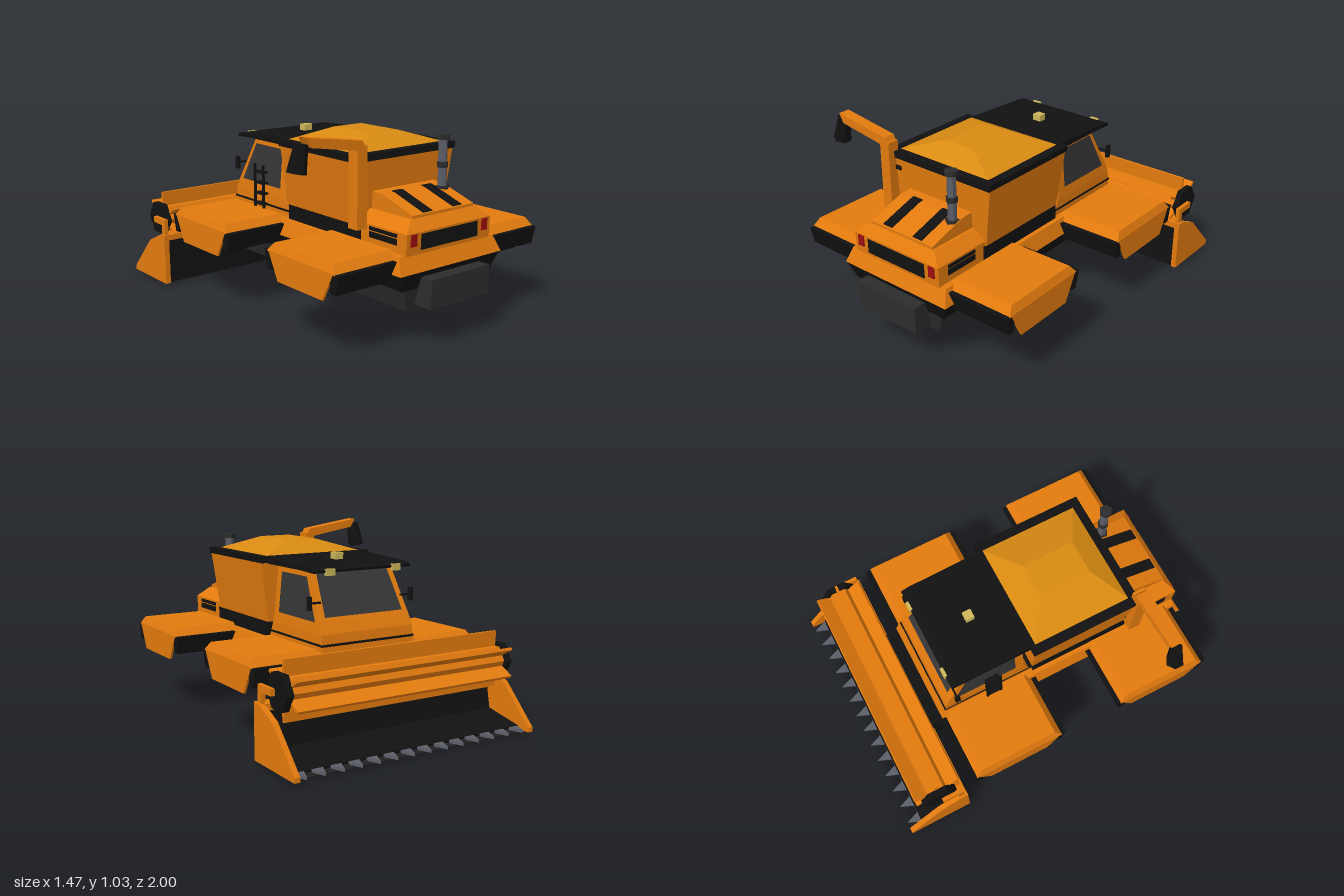
import * as THREE from 'three';

const mat = (name, color) => Object.assign(new THREE.MeshStandardMaterial({ color }), { name });

export function createModel() {
  const M = {
    orange: mat('orange paint', 0xe27a0e), black: mat('black trim', 0x111111),
    hull: mat('dark grey hull', 0x2c2c2c), steel: mat('steel grey', 0x5c5e68),
    glass: mat('tinted glass', 0x363636), grain: mat('grain', 0xd88a12),
    red: mat('tail light red', 0x9c0f0f), lamp: mat('lamp yellow', 0xcdb658),
  };
  M.glass.side = THREE.DoubleSide;
  const root = new THREE.Group();
  root.name = 'harvester';
  root.position.x = 0.01;

  const add = (name, geo, m) => {
    const g = geo.index ? geo.toNonIndexed() : geo;
    g.computeVertexNormals();
    const mesh = new THREE.Mesh(g, m);
    mesh.name = name;
    root.add(mesh);
    return mesh;
  };
  // box given by its limits
  const box = (name, m, x0, x1, y0, y1, z0, z1) => add(name,
    new THREE.BoxGeometry(x1 - x0, y1 - y0, z1 - z0).translate((x0 + x1) / 2, (y0 + y1) / 2, (z0 + z1) / 2), m);
  // stack of rectangular rings [y, xMin, xMax, zMin, zMax]
  const loft = (name, m, rings) => {
    const pos = [], idx = [];
    for (const [y, a, b, c, d] of rings) pos.push(b, y, d, b, y, c, a, y, c, a, y, d);
    for (let r = 0; r < rings.length - 1; r++) for (let i = 0; i < 4; i++) {
      const p = r * 4 + i, q = r * 4 + (i + 1) % 4;
      idx.push(p, q, q + 4, p, q + 4, p + 4);
    }
    const t = (rings.length - 1) * 4;
    idx.push(0, 2, 1, 0, 3, 2, t, t + 1, t + 2, t, t + 2, t + 3);
    const g = new THREE.BufferGeometry();
    g.setAttribute('position', new THREE.Float32BufferAttribute(pos, 3));
    g.setIndex(idx);
    return add(name, g, m);
  };
  const sym = ([y, hx, z0, z1]) => [y, -hx, hx, z0, z1];
  const extrude = (pts, depth) => new THREE.ExtrudeGeometry(
    new THREE.Shape(pts.map(p => new THREE.Vector2(...p))), { depth, bevelEnabled: false });
  // side profile [z, y] extruded from x0 to x1
  const prism = (name, m, pts, x0, x1) =>
    add(name, extrude(pts, x1 - x0).rotateY(-Math.PI / 2).translate(x1, 0, 0), m);
  // flat sheet through coplanar points
  const sheet = (name, m, pts) => {
    const g = new THREE.BufferGeometry().setFromPoints(pts.map(p => new THREE.Vector3(...p)));
    g.setIndex(pts.slice(2).flatMap((_, i) => [0, i + 1, i + 2]));
    return add(name, g, m);
  };

  // Hull and lower body
  loft('hull', M.hull, [[0.17, 0.25, -0.5, 0.88], [0.29, 0.29, -0.55, 0.91]].map(sym));
  loft('lowerBody', M.black, [[0.29, 0.31, -0.55, 0.91], [0.38, 0.345, -0.56, 0.94]].map(sym));
  loft('bodyBelt', M.orange, [[0.38, 0.352, -0.565, 0.943], [0.465, 0.325, -0.535, 0.905]].map(sym));
  box('rearBox', M.hull, -0.203, 0.203, 0.2, 0.35, 0.88, 1.0);
  box('feederHouse', M.black, -0.3, 0.3, 0.18, 0.38, -0.645, -0.53);

  // Engine bay and hood
  loft('engineBay', M.orange, [[0.46, 0.29, 0.55, 0.912], [0.57, 0.29, 0.55, 0.917], [0.625, 0.225, 0.55, 0.872]].map(sym));
  prism('hood', M.orange, [[0.55, 0.6], [0.87, 0.6], [0.87, 0.64], [0.66, 0.707], [0.55, 0.715]], -0.212, 0.212);
  box('rearGrille', M.black, -0.195, 0.195, 0.482, 0.56, 0.912, 0.92);
  for (const s of [-1, 1]) {
    prism('hoodStripe', M.black, [[0.862, 0.636], [0.862, 0.647], [0.655, 0.713], [0.64, 0.713], [0.64, 0.7]], s * 0.102 - 0.031, s * 0.102 + 0.031);
    box('tailLight', M.red, s * 0.245 - 0.019, s * 0.245 + 0.019, 0.505, 0.565, 0.912, 0.922);
    for (const y of [0.505, 0.542])
      box('sideGrille', M.black, s * 0.291 - 0.004, s * 0.291 + 0.004, y, y + (y < 0.52 ? 0.03 : 0.018), 0.655, 0.85);
  }

  // Exhaust stack
  for (const [r, y0, y1, m] of [[0.024, 0.68, 0.95, M.steel], [0.038, 0.675, 0.705, M.hull], [0.03, 0.8, 0.83, M.hull], [0.035, 0.945, 0.97, M.hull]])
    add('exhaust', new THREE.CylinderGeometry(r, r, y1 - y0, 6).translate(0.175, (y0 + y1) / 2, 0.685), m);

  // Grain tank
  loft('tankBase', M.black, [[0.46, 0.3, 0, 0.59], [0.545, 0.3, 0, 0.59]].map(sym));
  loft('grainTank', M.orange, [[0.545, 0.298, -0.005, 0.575], [0.875, 0.342, -0.015, 0.595]].map(sym));
  loft('tankRim', M.black, [[0.87, 0.345, -0.025, 0.605], [0.905, 0.35, -0.025, 0.605]].map(sym));
  loft('grainHeap', M.grain, [[0.903, 0.305, 0.0, 0.56], [0.97, 0.095, 0.14, 0.435]].map(sym));

  // Unloading auger
  loft('augerTower', M.orange, [[0.545, -0.362, -0.3, 0.575, 0.642], [0.96, -0.362, -0.3, 0.575, 0.642]]);
  add('augerArm', extrude([[-0.3, 0.93], [-0.328, 0.985], [-0.668, 1.035], [-0.64, 0.985]], 0.066).translate(0, 0, 0.575), M.orange);
  add('augerSpout', new THREE.CylinderGeometry(0.034, 0.049, 0.14, 6).rotateZ(-0.21).translate(-0.686, 0.936, 0.605), M.black);
  for (const y of [0.625, 0.815]) box('augerStrap', M.black, -0.31, -0.265, y - 0.011, y + 0.011, 0.57, 0.6);

  // Cab
  loft('cab', M.orange, [[0.46, 0.285, -0.535, 0], [0.555, 0.285, -0.525, -0.04], [0.61, 0.28, -0.5, -0.05], [0.875, 0.255, -0.355, -0.05]].map(sym));
  loft('cabSeam', M.black, [[0.495, 0.288, -0.538, 0], [0.506, 0.288, -0.538, 0]].map(sym));
  const cabX = y => 0.284 - (y - 0.61) * 0.0943;
  const cabZ = y => -0.505 + (y - 0.61) * 0.547;
  for (const s of [-1, 1])
    sheet('sideWindow', M.glass, [[-0.1, 0.612], [-0.463, 0.612], [-0.353, 0.83], [-0.1, 0.83]].map(([z, y]) => [s * cabX(y), y, z]));
  sheet('windshield', M.glass, [[-1, 0.635], [1, 0.635], [1, 0.845], [-1, 0.845]].map(([s, y]) => [s * (cabX(y) - 0.04), y, cabZ(y)]));
  prism('cabRoof', M.black, [[-0.02, 0.865], [-0.02, 0.905], [-0.44, 0.885], [-0.48, 0.873], [-0.475, 0.86], [-0.36, 0.865]], -0.302, 0.302);
  box('beacon', M.lamp, -0.025, 0.025, 0.89, 0.93, -0.255, -0.207);
  for (const s of [-1, 1]) {
    box('roofLight', M.lamp, s * 0.205 - 0.026, s * 0.205 + 0.026, 0.845, 0.88, -0.488, -0.47);
    box('mirrorArm', M.black, s * 0.285 - 0.035, s * 0.285 + 0.035, 0.705, 0.715, -0.468, -0.458);
    box('mirror', M.black, s * 0.318 - 0.008, s * 0.318 + 0.008, 0.675, 0.745, -0.478, -0.45);
  }
  // Ladder beside the cab door
  for (const z of [-0.29, -0.21]) box('ladderRail', M.black, -0.325, -0.313, 0.47, 0.73, z - 0.006, z + 0.006);
  for (let i = 0; i < 4; i++) box('ladderRung', M.black, -0.325, -0.285, 0.5 + i * 0.06, 0.51 + i * 0.06, -0.29, -0.21);

  // Hollow fenders with end flaps and outer skirts
  const span = (s, a, b) => (s > 0 ? [a, b] : [-b, -a]);
  for (const s of [-1, 1]) for (const c of [-0.287, 0.608]) {
    loft('fenderTop', M.orange, [
      [0.44, ...span(s, 0.31, 0.692), c - 0.262, c + 0.262], [0.485, ...span(s, 0.31, 0.672), c - 0.225, c + 0.225]]);
    prism('fenderSkirt', M.orange, [[c - 0.25, 0.445], [c + 0.25, 0.445], [c + 0.175, 0.3], [c - 0.175, 0.3]], ...span(s, 0.68, 0.692));
    for (const e of [-1, 1])
      prism('fenderFlap', M.black, [[c + e * 0.22, 0.443], [c + e * 0.288, 0.443], [c + e * 0.265, 0.345], [c + e * 0.23, 0.345]], ...span(s, 0.31, 0.688));
  }

  // Cutting header
  prism('headerTrough', M.black, [[-0.63, 0.02], [-0.63, 0.28], [-0.66, 0.28], [-0.7, 0.08], [-0.92, 0.035], [-0.92, 0.02]], -0.7, 0.7);
  box('headerBeam', M.orange, -0.7, 0.7, 0.272, 0.305, -0.7, -0.627);
  box('cutterBar', M.hull, -0.71, 0.71, 0, 0.022, -0.925, -0.85);
  for (let i = 0; i < 14; i++) {
    const x = -0.66 + i * 0.1015;
    add('cutterTooth', extrude([[x - 0.032, 0.915], [x + 0.032, 0.915], [x, 0.995]], 0.016).rotateX(-Math.PI / 2).translate(0, 0.018, 0), M.steel);
  }
  for (const s of [-1, 1]) {
    prism('headerEnd', M.orange, [[-0.627, 0.015], [-0.627, 0.305], [-0.68, 0.3], [-0.8, 0.245], [-0.997, 0.04], [-0.997, 0.015]], ...span(s, 0.695, 0.725));
    prism('reelArm', M.orange, [[-0.64, 0.29], [-0.64, 0.392], [-0.765, 0.392], [-0.765, 0.357], [-0.675, 0.357], [-0.675, 0.29]], ...span(s, 0.69, 0.712));
    add('reelDisc', new THREE.CylinderGeometry(0.1, 0.1, 0.035, 6).rotateZ(Math.PI / 2).rotateX(Math.PI / 2).rotateX(Math.PI / 2)
      .translate(s * 0.665, 0.375, -0.77), M.black);
  }
  add('reelDrum', new THREE.CylinderGeometry(0.08, 0.08, 1.3, 6).rotateZ(Math.PI / 2).translate(0, 0.375, -0.77), M.orange);
  for (let i = 0; i < 6; i++)
    add('reelBat', new THREE.BoxGeometry(1.3, 0.085, 0.015).translate(0, 0.108, 0).rotateX(i * Math.PI / 3).translate(0, 0.375, -0.77), M.orange);

  return root;
}
